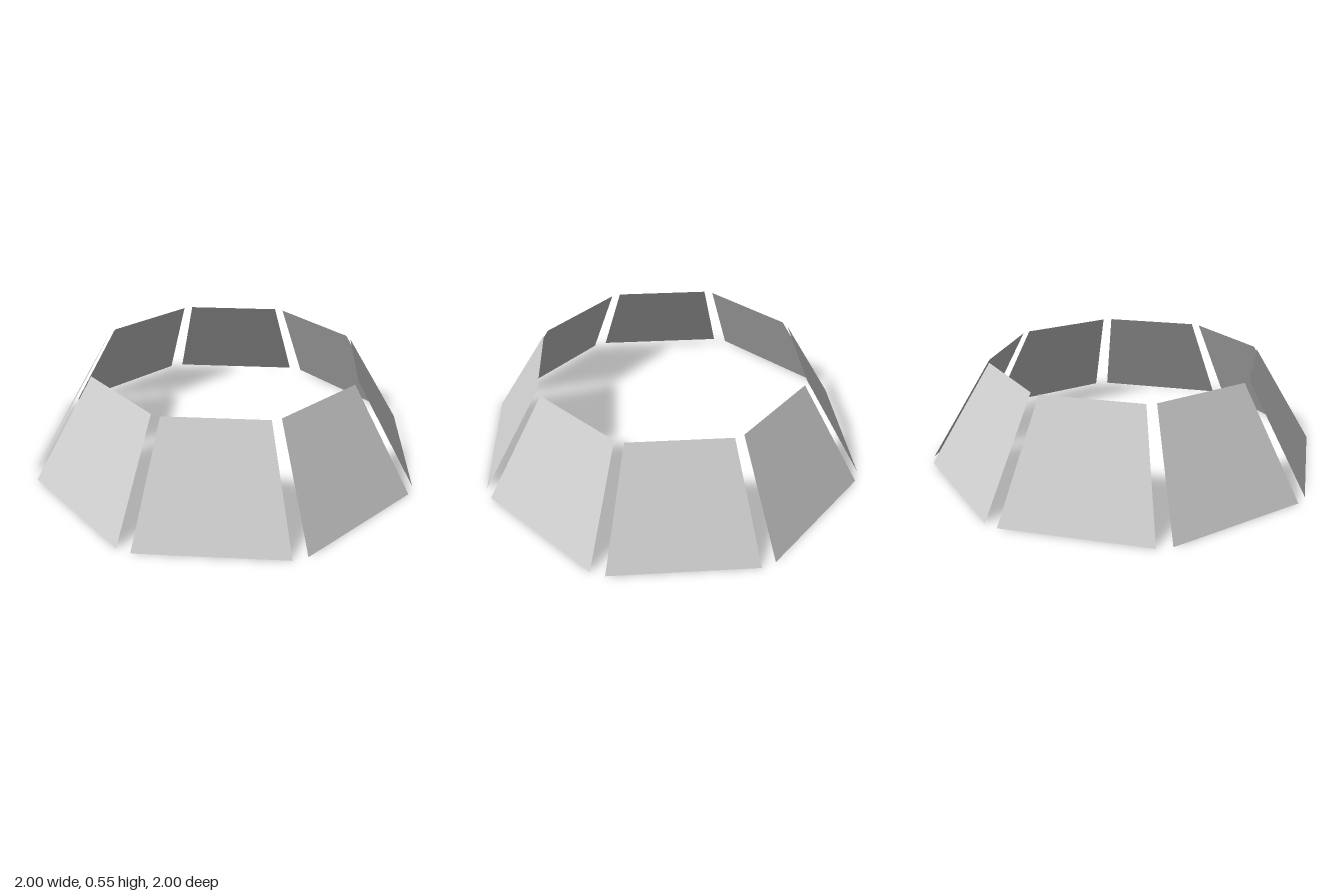
import * as THREE from 'three';

const COUNT = 8;
const HEIGHT = 0.55;
const BOTTOM = { radius: 1, halfWidth: 0.372 };
const TOP = { radius: 0.685, halfWidth: 0.257 };

// Flat trapezoid leaning inwards, facing +z
function panelGeometry() {
  const geometry = new THREE.PlaneGeometry(2, 1);
  const pos = geometry.attributes.position;
  for (let i = 0; i < pos.count; i++) {
    const upper = pos.getY(i) > 0;
    const edge = upper ? TOP : BOTTOM;
    pos.setXYZ(i, pos.getX(i) * edge.halfWidth, upper ? HEIGHT : 0, edge.radius);
  }
  geometry.computeVertexNormals();
  return geometry;
}

export function createModel() {
  const model = new THREE.Group();
  model.name = 'panelRing';
  const material = new THREE.MeshStandardMaterial({
    color: 0xcccccc,
    flatShading: true,
    side: THREE.DoubleSide,
  });
  const geometry = panelGeometry();

  // Ring of separate panels with narrow gaps between them
  for (let i = 0; i < COUNT; i++) {
    const panel = new THREE.Mesh(geometry, material);
    panel.name = `panel${i + 1}`;
    panel.rotation.y = (i / COUNT) * Math.PI * 2;
    model.add(panel);
  }
  return model;
}
